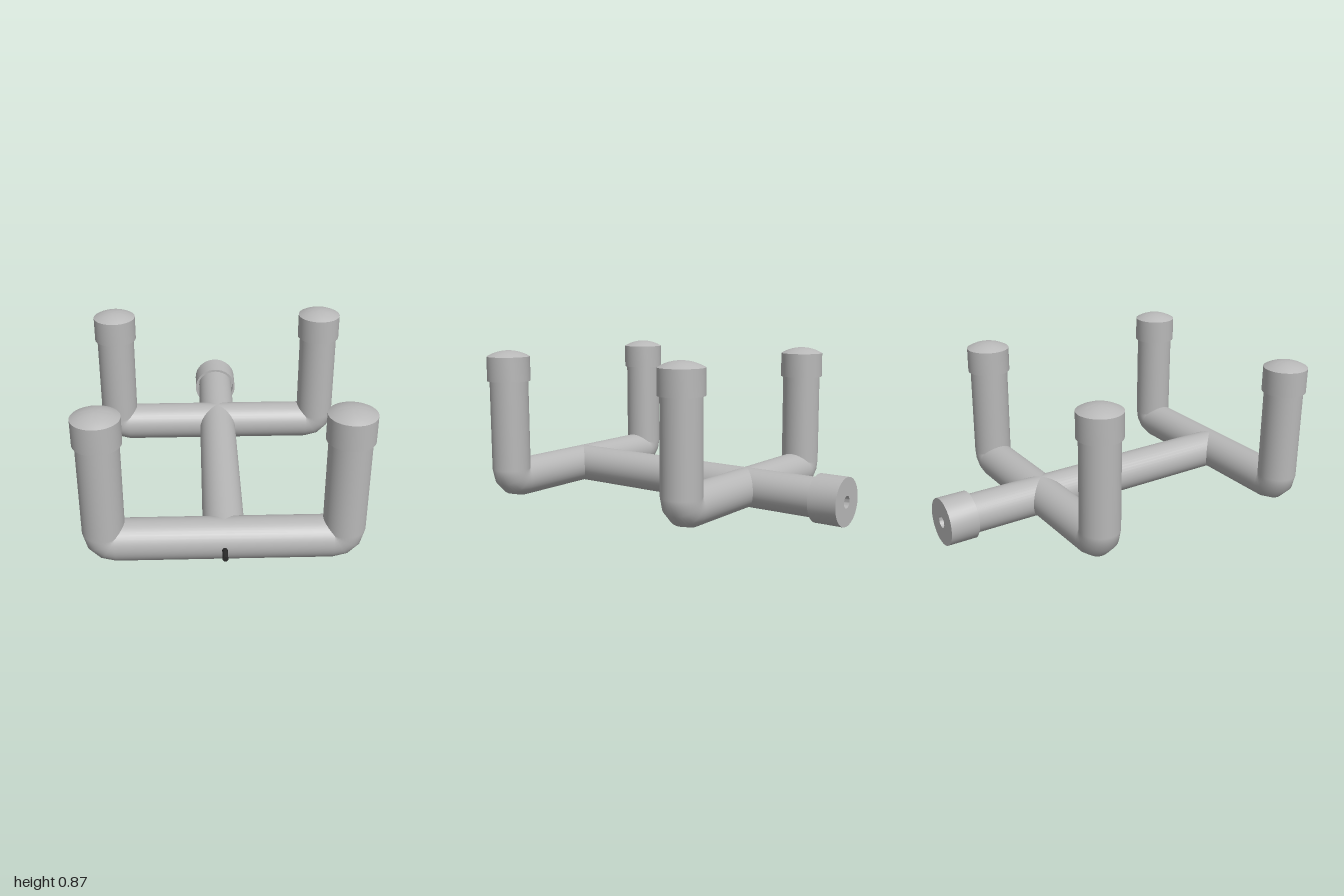
import * as THREE from 'three';
import { toCreasedNormals } from 'three/addons/utils/BufferGeometryUtils.js';

const R = 0.108;      // pipe radius
const Y = 0.133;      // height of the pipe centre lines
const X = 0.607;      // post offset from the middle
const BEND = 0.06;    // elbow centre-line radius
const SIDES = 40;

const V = (x, y) => new THREE.Vector2(x, y);

export function createModel() {
  const model = new THREE.Group();
  const grey = new THREE.MeshStandardMaterial({ color: 0xb8b8b8 });
  grey.name = 'grey pipe';
  const dark = new THREE.MeshStandardMaterial({ color: 0x2a2a2a });
  dark.name = 'dark pin';

  const add = (parent, name, geometry, material = grey) => {
    const mesh = new THREE.Mesh(geometry, material);
    mesh.name = name;
    parent.add(mesh);
    return mesh;
  };
  const lathe = (points) => toCreasedNormals(new THREE.LatheGeometry(points, SIDES), 0.5);

  // Slip-on post cap: open rim, straight wall, shallow domed top
  const capProfile = [V(R - 0.003, 0), V(0.121, 0), V(0.121, 0.138)];
  const domeRadius = (0.121 ** 2 + 0.034 ** 2) / (2 * 0.034);
  const domeAngle = Math.asin(0.121 / domeRadius);
  for (let i = 1; i <= 6; i++) {
    const a = domeAngle * (1 - i / 6);
    capProfile.push(V(domeRadius * Math.sin(a), 0.172 - domeRadius * (1 - Math.cos(a))));
  }
  const capGeometry = lathe(capProfile);

  // Shared pipe pieces
  const postBase = Y + BEND;
  const postGeometry = new THREE.CylinderGeometry(R, R, 0.72 - postBase, SIDES);
  const barGeometry = new THREE.CylinderGeometry(R, R, 2 * (X - BEND), SIDES).rotateZ(Math.PI / 2);
  const elbowGeometry = new THREE.TorusGeometry(BEND, R, SIDES, 3, Math.PI / 2);

  // Two U-shaped frames, front and rear
  for (const [name, z] of [['frontFrame', 0.82], ['rearFrame', -0.395]]) {
    const frame = new THREE.Group();
    frame.name = name;
    frame.position.z = z;
    add(frame, 'crossbar', barGeometry).position.y = Y;
    for (const side of [-1, 1]) {
      const label = side > 0 ? 'left' : 'right';
      add(frame, label + 'Post', postGeometry).position.set(side * X, (0.72 + postBase) / 2, 0);
      add(frame, label + 'Cap', capGeometry).position.set(side * X, 0.7, 0);
      const elbow = add(frame, label + 'Elbow', elbowGeometry);
      elbow.position.set(side * (X - BEND), postBase, 0);
      elbow.rotation.z = side > 0 ? -Math.PI / 2 : Math.PI;
    }
    model.add(frame);
  }

  // Spine joining both frames
  const spine = add(model, 'spine',
    new THREE.CylinderGeometry(R, R, 1.72, SIDES).rotateX(Math.PI / 2));
  spine.position.set(0, Y, -0.04);

  // Rear end cap with a recessed rim and a centre hole
  const endCap = add(model, 'endCap', lathe([
    V(0.1, 0.05), V(0.117, 0.05), V(0.117, 0), V(0.131, 0), V(0.131, 0.16),
    V(0.033, 0.16), V(0.033, 0.08), V(0, 0.08),
  ]).rotateX(-Math.PI / 2));
  endCap.position.set(0, Y, -0.84);

  // Small pin on the front crossbar
  const pin = add(model, 'frontPin',
    new THREE.CylinderGeometry(0.014, 0.014, 0.1, 16).rotateX(Math.PI / 2), dark);
  pin.position.set(0, Y, 0.95);

  return model;
}
